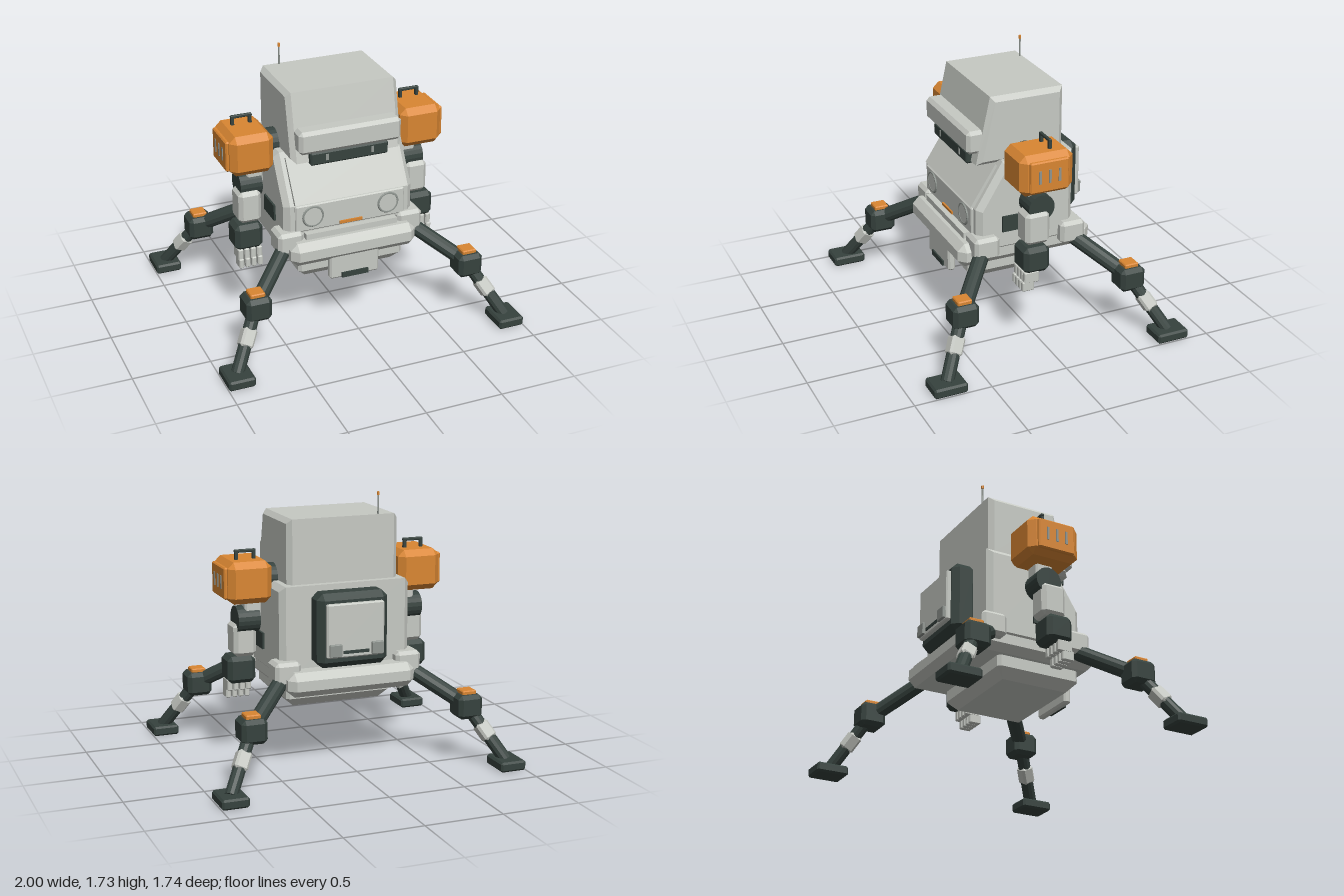
import * as THREE from 'three';
import { ConvexGeometry } from 'three/addons/geometries/ConvexGeometry.js';

const mat = (name, color) => {
  const m = new THREE.MeshStandardMaterial({ color, flatShading: true });
  m.name = name;
  return m;
};

export function createModel() {
  const shell = mat('light grey shell', 0xc6c9c3);
  const dark = mat('dark green metal', 0x36423e);
  const orange = mat('orange paint', 0xd98632);
  const grey = mat('mid grey metal', 0x8f9590);
  const root = new THREE.Group();
  root.name = 'walkerRobot';

  const add = (parent, name, geometry, material, x = 0, y = 0, z = 0) => {
    const mesh = new THREE.Mesh(geometry, material);
    mesh.name = name;
    mesh.position.set(x, y, z);
    parent.add(mesh);
    return mesh;
  };
  const group = (name) => {
    const g = new THREE.Group();
    g.name = name;
    root.add(g);
    return g;
  };

  // Box with chamfered edges; the bottom may be drawn in by taper
  const chamferBox = (w, h, d, c, taper = 0) => {
    const pts = [];
    for (const sx of [-1, 1]) for (const sy of [-1, 1]) for (const sz of [-1, 1]) {
      const t = sy < 0 ? taper : 0;
      const X = w / 2, Y = h / 2, Z = d / 2;
      pts.push(
        new THREE.Vector3(sx * X, sy * (Y - c - t), sz * (Z - c)),
        new THREE.Vector3(sx * (X - c - t), sy * Y, sz * (Z - c - t)),
        new THREE.Vector3(sx * (X - c), sy * (Y - c - t), sz * Z));
    }
    return new ConvexGeometry(pts);
  };
  const box = (parent, name, m, size, pos, c = 0) => add(parent, name,
    c ? chamferBox(...size, c) : new THREE.BoxGeometry(...size), m, ...pos);

  // Side profile of [z, y] points extruded across x with a bevel
  const profile = (points, width, bevel) => {
    const shape = new THREE.Shape(points.map(([z, y]) => new THREE.Vector2(z, y)));
    const depth = width - 2 * bevel;
    return new THREE.ExtrudeGeometry(shape, {
      depth, bevelEnabled: bevel > 0, bevelThickness: bevel, bevelSize: bevel,
      bevelOffset: -bevel, bevelSegments: 1,
    }).translate(0, 0, -depth / 2).rotateY(-Math.PI / 2);
  };

  // Mesh whose y axis lies along the line from a to b
  const along = (mesh, a, b) => {
    mesh.quaternion.setFromUnitVectors(new THREE.Vector3(0, 1, 0), b.clone().sub(a).normalize());
    return mesh;
  };
  const rod = (parent, name, m, a, b, r) => {
    const p = a.clone().add(b).multiplyScalar(0.5);
    return along(add(parent, name, new THREE.CylinderGeometry(r, r, a.distanceTo(b), 12), m, p.x, p.y, p.z), a, b);
  };
  const V = (x, y, z) => new THREE.Vector3(x, y, z);

  // Torso, base and belly
  const body = group('body');
  add(body, 'torso', profile([[-0.315, 0.58], [0.342, 0.58], [0.342, 0.88], [0.16, 1.175], [-0.315, 1.175]], 0.87, 0.035), shell);
  add(body, 'slopedPanel', profile([[0.17, 1.13], [0.33, 0.88], [0.36, 0.895], [0.195, 1.15]], 0.745, 0), shell);
  box(body, 'lampPanel', shell, [0.74, 0.18, 0.04], [0, 0.79, 0.337], 0.008);
  box(body, 'base', shell, [0.85, 0.155, 0.91], [0, 0.575, 0], 0.045);
  box(body, 'frontSill', shell, [0.62, 0.06, 0.1], [0, 0.66, 0.335]);
  add(body, 'belly', chamferBox(0.71, 0.17, 0.57, 0.02, 0.04), shell, 0, 0.45, 0.085);
  box(body, 'frontBib', shell, [0.335, 0.2, 0.05], [0, 0.46, 0.405], 0.012);
  box(body, 'bibSlot', dark, [0.18, 0.035, 0.02], [0, 0.382, 0.43]);
  box(body, 'noseStripe', orange, [0.155, 0.018, 0.015], [0, 0.722, 0.36]);
  for (const s of [-1, 1]) {
    add(body, 'headlightRing', new THREE.TorusGeometry(0.065, 0.008, 6, 24), grey, s * 0.255, 0.798, 0.36);
    add(body, 'headlight', new THREE.CylinderGeometry(0.062, 0.062, 0.015, 24).rotateX(Math.PI / 2), shell, s * 0.255, 0.798, 0.357);
    box(body, 'sideVent', dark, [0.03, 0.105, 0.18], [s * 0.433, 0.768, 0.087]);
  }

  // Head with brow, eye bar and antenna
  const head = group('head');
  add(head, 'headShell', profile([[-0.27, 1.15], [0.31, 1.15], [0.215, 1.585], [-0.27, 1.585]], 0.74, 0.03), shell);
  box(head, 'brow', shell, [0.68, 0.15, 0.12], [0, 1.297, 0.305], 0.022);
  box(head, 'eyeBar', dark, [0.52, 0.085, 0.07], [0, 1.175, 0.305], 0.01);
  for (const s of [-1, 1]) box(head, 'eye', grey, [0.018, 0.04, 0.008], [s * 0.152, 1.18, 0.34]);
  add(head, 'antenna', new THREE.CylinderGeometry(0.006, 0.006, 0.16, 8), grey, -0.237, 1.63, -0.255);
  add(head, 'antennaTip', new THREE.CylinderGeometry(0.009, 0.009, 0.022, 8), orange, -0.237, 1.714, -0.255);

  // Backpack
  const pack = group('backpack');
  box(pack, 'packFrame', dark, [0.47, 0.47, 0.17], [0, 0.903, -0.365], 0.04);
  box(pack, 'packCover', shell, [0.38, 0.34, 0.04], [0, 0.91, -0.46], 0.008);
  box(pack, 'packVent', dark, [0.17, 0.02, 0.008], [0, 0.775, -0.481]);
  for (const s of [-1, 1]) box(pack, 'packLatch', grey, [0.08, 0.08, 0.022], [s * 0.14, 0.79, -0.489], 0.004);

  // Arms
  for (const s of [-1, 1]) {
    const arm = group(s > 0 ? 'leftArm' : 'rightArm');
    const part = (name, m, size, [x, y, z], c) => box(arm, name, m, size, [s * x, y, z], c);
    const axle = (name, r, len, x, y, z) => add(arm, name,
      new THREE.CylinderGeometry(r, r, len, 20).rotateZ(Math.PI / 2), dark, s * x, y, z);
    axle('shoulderAxle', 0.09, 0.1, 0.4, 1.185, 0);
    part('shoulderBox', orange, [0.285, 0.265, 0.355], [0.573, 1.185, 0], 0.04);
    part('shoulderPlate', orange, [0.03, 0.2, 0.255], [0.72, 1.185, 0], 0.008);
    for (const z of [-0.065, 0, 0.065]) part('ventSlot', grey, [0.008, 0.085, 0.016], [0.736, 1.187, z]);
    for (const x of [0.515, 0.63]) part('handlePost', dark, [0.02, 0.06, 0.02], [x, 1.34, -0.045]);
    part('handleGrip', dark, [0.14, 0.02, 0.02], [0.5725, 1.37, -0.045], 0.004);
    part('upperArm', shell, [0.11, 0.17, 0.12], [0.525, 1.01, 0], 0.012);
    axle('elbow', 0.087, 0.145, 0.557, 0.927, 0);
    part('forearm', shell, [0.15, 0.215, 0.165], [0.575, 0.798, 0.028], 0.025);
    part('wrist', dark, [0.185, 0.175, 0.175], [0.594, 0.6, 0.048], 0.028);
    for (let i = 0; i < 4; i++) {
      const x = 0.53 + i * 0.042;
      part('fingerBase', shell, [0.034, 0.075, 0.1], [x, 0.488, 0.083], 0.006);
      part('fingerTip', shell, [0.032, 0.065, 0.08], [x, 0.43, 0.105], 0.006);
    }
  }

  // Four legs
  for (const sx of [-1, 1]) for (const sz of [-1, 1]) {
    const leg = group((sz > 0 ? 'front' : 'back') + (sx > 0 ? 'Left' : 'Right') + 'Leg');
    const hip = V(sx * 0.4, 0.61, sz * 0.285);
    const knee = V(sx * 0.718, 0.38, sz * 0.57);
    const ankle = V(sx * 0.91, 0.05, sz * 0.755);
    box(leg, 'hip', shell, [0.17, 0.15, 0.17], [sx * 0.405, 0.635, sz * 0.295], 0.022);
    rod(leg, 'thigh', dark, hip, knee, 0.05);
    box(leg, 'knee', dark, [0.165, 0.155, 0.17], [knee.x, knee.y, knee.z], 0.025);
    box(leg, 'kneeCap', orange, [0.095, 0.03, 0.095], [knee.x, 0.467, knee.z], 0.006);
    rod(leg, 'shin', dark, knee, ankle, 0.042);
    const p = knee.clone().lerp(ankle, 0.48);
    along(box(leg, 'shinGuard', shell, [0.088, 0.12, 0.088], [p.x, p.y, p.z], 0.014), knee, ankle);
    box(leg, 'foot', dark, [0.172, 0.064, 0.215], [sx * 0.914, 0.032, sz * 0.76], 0.012);
  }
  return root;
}
